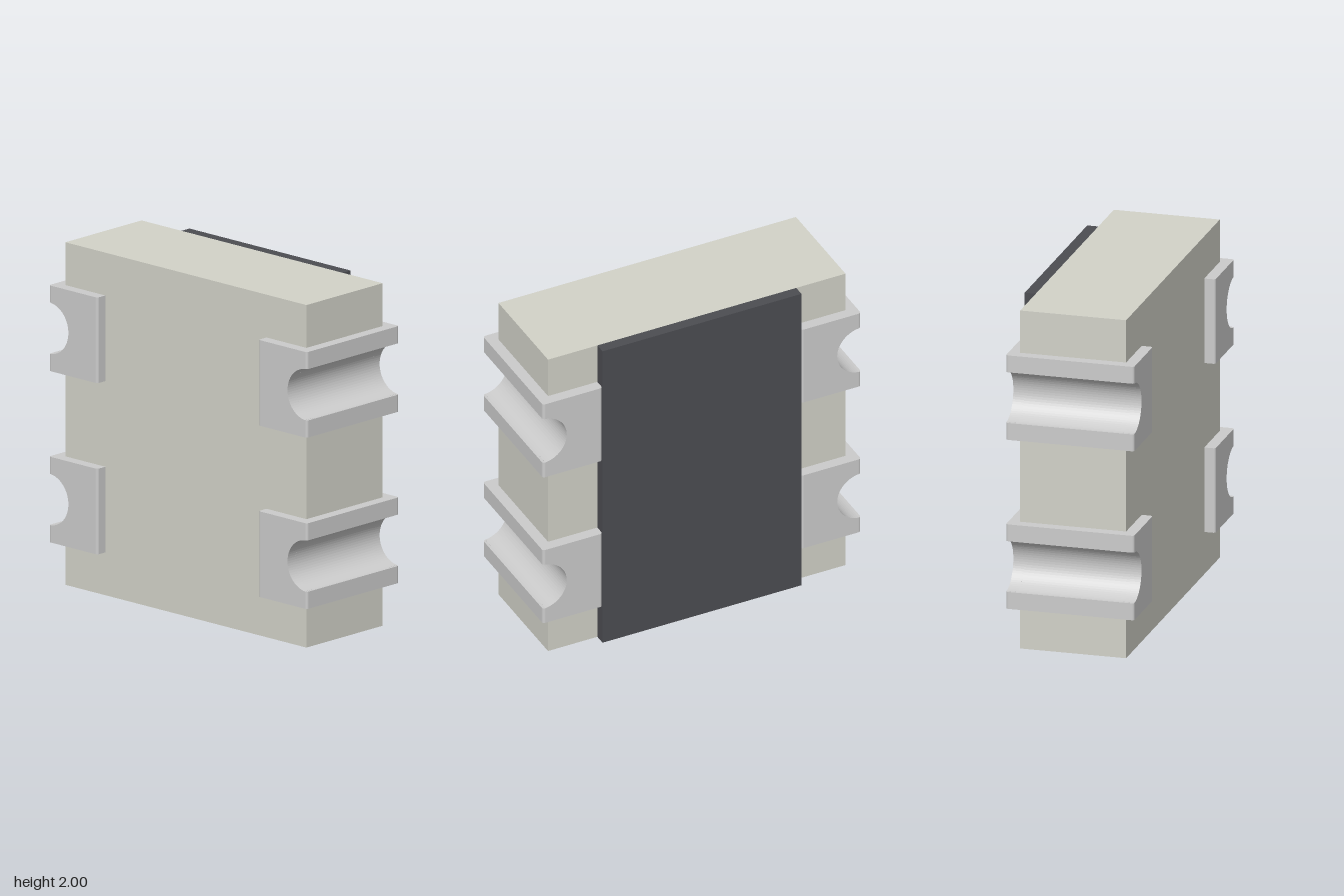
import * as THREE from 'three';
import { mergeGeometries } from 'three/addons/utils/BufferGeometryUtils.js';

const BODY_X = 0.935, BODY_Z = 0.31; // half sizes of the body
const OUT_Z = 0.375;                 // outer face of terminals and coating
const INNER_X = 0.625;               // inner edge of the terminal pads
const HALF_H = 0.25;                 // half height of a terminal
const R = 0.15, LINING_R = 0.17;     // groove radius, lining outer radius
const ROUND = 0.015;                 // edge rounding
const liningAngle = Math.acos((1 - BODY_X) / LINING_R);

const extrude = (shape, depth, z) =>
  new THREE.ExtrudeGeometry(shape, { depth, bevelEnabled: false, curveSegments: 16 }).translate(0, 0, z);

// Upright strip with one rounded edge; dir = +1 rounds the +x side
function roundedEdge(x, dir, y0, y1) {
  const s = new THREE.Shape();
  const inner = x - dir * ROUND;
  s.moveTo(inner, BODY_Z);
  s.lineTo(x, BODY_Z);
  s.absarc(inner, OUT_Z - ROUND, ROUND, dir > 0 ? 0 : Math.PI, Math.PI / 2, dir < 0);
  const g = new THREE.ExtrudeGeometry(s, { depth: y1 - y0, bevelEnabled: false, curveSegments: 4 });
  return g.rotateX(-Math.PI / 2).translate(0, y0, 0); // lies at the back (-z)
}

// Terminal clip on the +x side, centred on y = 0
function terminalGeometry() {
  // Web on the side face, with the half-round groove and its lining
  const web = new THREE.Shape();
  web.moveTo(BODY_X, -HALF_H);
  web.lineTo(1, -HALF_H);
  web.absarc(1, 0, R, Math.PI * 1.5, Math.PI / 2, true);
  web.lineTo(1, HALF_H);
  web.lineTo(BODY_X, HALF_H);
  web.absarc(1, 0, LINING_R, Math.PI - liningAngle, Math.PI + liningAngle, false);

  // Notched pad for the front and back faces
  const x0 = INNER_X + ROUND, x1 = 1 - ROUND;
  const a = Math.acos((1 - x1) / R);
  const pad = new THREE.Shape();
  pad.moveTo(x0, -HALF_H);
  pad.lineTo(x1, -HALF_H);
  pad.absarc(1, 0, R, Math.PI + a, Math.PI - a, true);
  pad.lineTo(x1, HALF_H);
  pad.lineTo(x0, HALF_H);

  const parts = [extrude(web, 2 * BODY_Z, -BODY_Z)];
  for (const turn of [0, Math.PI]) {
    const side = [
      extrude(pad, OUT_Z - BODY_Z, -OUT_Z),
      roundedEdge(INNER_X, -1, -HALF_H, HALF_H),
      roundedEdge(1, 1, R, HALF_H),
      roundedEdge(1, 1, -HALF_H, -R),
    ];
    side.forEach((g) => parts.push(g.rotateX(turn)));
  }
  return mergeGeometries(parts);
}

export function createModel() {
  const model = new THREE.Group();
  const ceramic = new THREE.MeshStandardMaterial({ color: 0xd2d2c8 });
  const metal = new THREE.MeshStandardMaterial({ color: 0xcccccb });
  const dark = new THREE.MeshStandardMaterial({ color: 0x4c4d52 });
  const add = (name, geometry, material) => {
    const mesh = new THREE.Mesh(geometry, material);
    mesh.name = name;
    model.add(mesh);
    return mesh;
  };

  // Body block with side grooves
  const outline = new THREE.Shape();
  outline.moveTo(-BODY_X, 0);
  outline.lineTo(BODY_X, 0);
  for (const y of [0.5, 1.5])
    outline.absarc(1, y, LINING_R, Math.PI + liningAngle, Math.PI - liningAngle, true);
  outline.lineTo(BODY_X, 2);
  outline.lineTo(-BODY_X, 2);
  for (const y of [1.5, 0.5])
    outline.absarc(-1, y, LINING_R, liningAngle, -liningAngle, true);
  add('body', extrude(outline, 2 * BODY_Z, -BODY_Z), ceramic);

  // Dark coating on the back
  const coating = new THREE.BoxGeometry(2 * INNER_X, 2, OUT_Z - BODY_Z);
  add('backCoating', coating.translate(0, 1, -(OUT_Z + BODY_Z) / 2), dark);

  // Four terminals, the right ones turned half round
  const clip = terminalGeometry();
  for (const [level, y] of [['lower', 0.5], ['upper', 1.5]]) {
    add(level + 'LeftTerminal', clip, metal).position.y = y;
    const right = add(level + 'RightTerminal', clip, metal);
    right.position.y = y;
    right.rotation.z = Math.PI;
  }
  return model;
}
